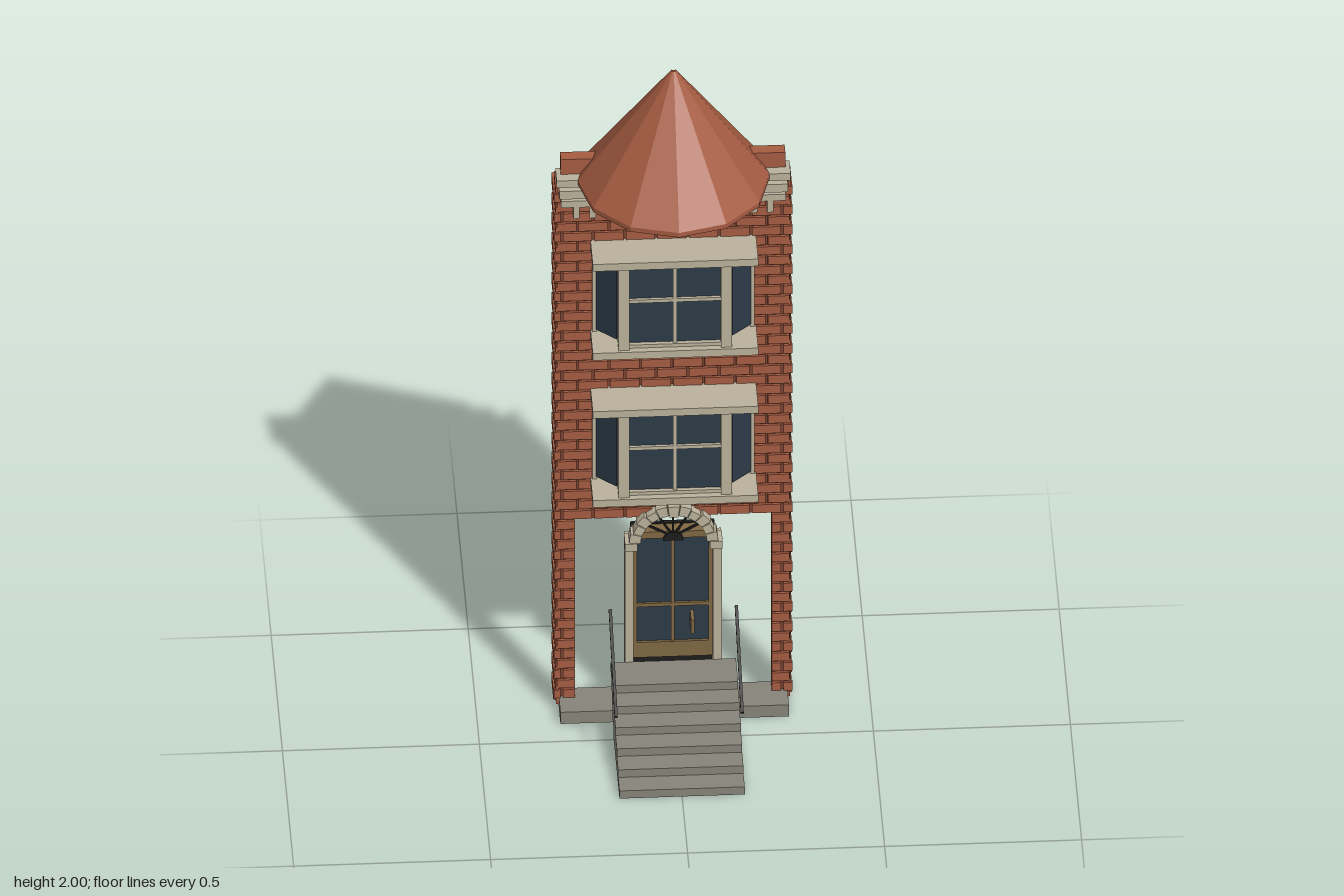
import * as THREE from 'three';
import { mergeGeometries } from 'three/addons/utils/BufferGeometryUtils.js';

const mat = (name, color, side = THREE.FrontSide) => {
  const m = new THREE.MeshStandardMaterial({ color, side });
  m.name = name;
  return m;
};

export function createModel() {
  const root = new THREE.Group();
  root.name = 'townhouseFacade';
  const brick = mat('brick red', 0xa65c42, THREE.DoubleSide);
  const mortar = mat('dark mortar', 0x7a4230);
  const cream = mat('cream stone', 0xbab29c);
  const stone = mat('grey stone', 0x87857a);
  const glass = mat('dark blue glass', 0x2c3a47);
  const black = mat('black', 0x1c1c1c);
  const wood = mat('brown wood', 0x806843);

  const add = (name, geo, material, parent = root) => {
    const m = new THREE.Mesh(geo, material);
    m.name = name;
    parent.add(m);
    return m;
  };
  // Box from its minimum and maximum on each axis
  const boxGeo = (x0, x1, y0, y1, z0, z1) =>
    new THREE.BoxGeometry(x1 - x0, y1 - y0, z1 - z0).translate((x0 + x1) / 2, (y0 + y1) / 2, (z0 + z1) / 2);
  const box = (name, material, b, parent) => add(name, boxGeo(...b), material, parent);
  const rect = (Type, x0, x1, y0, y1) => {
    const s = new Type();
    s.moveTo(x0, y0).lineTo(x1, y0).lineTo(x1, y1).lineTo(x0, y1).closePath();
    return s;
  };
  const extrude = (shape, depth, z) =>
    new THREE.ExtrudeGeometry(shape, { depth, bevelEnabled: false, curveSegments: 12 }).translate(0, 0, z);

  // Wall with two window openings and an open ground floor between piers
  const windows = [0.70, 1.16];
  const wallShape = (w, top) => {
    const s = new THREE.Shape();
    s.moveTo(-w, 0.03).lineTo(-0.25, 0.03).lineTo(-0.25, 0.59).lineTo(0.25, 0.59)
      .lineTo(0.25, 0.03).lineTo(w, 0.03).lineTo(w, top).lineTo(-w, top).closePath();
    for (const y of windows) s.holes.push(rect(THREE.Path, -0.2, 0.2, y + 0.015, y + 0.285));
    return s;
  };
  add('wall', extrude(wallShape(0.285, 1.71), 0.033, -0.183), brick);
  add('mortarFace', extrude(wallShape(0.287, 1.63), 0.004, -0.15), mortar);

  // Running-bond bricks on the front, cut around the openings
  const row = 0.0315, pitch = 0.08, gap = 0.006;
  const bricks = [];
  const layBrick = (a, b, y) => {
    if (b - a > 0.008) bricks.push(boxGeo(a, b, y, y + row - gap, -0.148, -0.139));
  };
  for (let i = 0; i < 51; i++) {
    const y = 0.035 + i * row - 0.0005 * i, mid = y + row / 2;
    const edge = i % 2 ? 0.295 : 0.303;
    let hole = 0;
    if (mid < 0.6) hole = 0.25;
    for (const w of windows) if (mid > w && mid < w + 0.3) hole = 0.203;
    for (let x = -0.36 + (i % 2) * pitch / 2; x < 0.32; x += pitch) {
      const a = Math.max(x, -edge), b = Math.min(x + pitch - gap, edge);
      if (!hole) layBrick(a, b, y);
      else {
        layBrick(a, Math.min(b, -hole), y);
        layBrick(Math.max(a, hole), b, y);
      }
    }
  }
  add('frontBricks', mergeGeometries(bricks), brick);

  // Side returns with toothed rear edges
  for (const s of [-1, 1]) {
    const teeth = [];
    for (let i = 0; i < 52; i++) {
      const y = 0.012 + i * 0.0312;
      const z = i % 2 ? [-0.215, -0.142] : [-0.252, -0.165];
      const x = i % 2 ? 0.299 : 0.303;
      teeth.push(boxGeo(Math.min(s * 0.293, s * x), Math.max(s * 0.293, s * x), y, y + 0.026, ...z));
    }
    add(s > 0 ? 'leftQuoins' : 'rightQuoins', mergeGeometries(teeth), brick);
    box('sideReturn', brick, [s * 0.291 - 0.006, s * 0.291 + 0.006, 0.012, 1.625, -0.215, -0.146]);
  }

  // Cornice, string course and dentils
  box('cornice', cream, [-0.297, 0.297, 1.642, 1.664, -0.178, -0.122]);
  box('stringCourse', cream, [-0.29, 0.29, 1.605, 1.63, -0.15, -0.123]);
  box('lowerCourse', cream, [-0.285, 0.285, 1.575, 1.595, -0.15, -0.128]);
  const dentils = [];
  for (let i = -6; i <= 6; i++) dentils.push(boxGeo(i * 0.041 - 0.008, i * 0.041 + 0.008, 1.54, 1.575, -0.15, -0.128));
  add('dentils', mergeGeometries(dentils), cream);

  // Conical turret roof, open at the back, with a narrow soffit
  const profile = [[0.205, 1.652], [0.243, 1.652], [0.243, 1.666], [0.006, 2.0], [0, 2.0]].map(p => new THREE.Vector2(...p));
  const roof = new THREE.LatheGeometry(profile, 8, -Math.PI * 2 / 3, Math.PI * 4 / 3).toNonIndexed();
  roof.computeVertexNormals();
  add('turretRoof', roof, brick).position.z = -0.12;

  // Projecting bay windows
  for (const y of windows) {
    const bay = new THREE.Group();
    bay.name = 'bayWindow';
    bay.position.y = y;
    root.add(bay);
    box('sill', cream, [-0.21, 0.21, 0, 0.022, -0.184, -0.038], bay);
    box('lintel', cream, [-0.21, 0.21, 0.278, 0.3, -0.184, -0.038], bay);
    box('centreGlass', glass, [-0.118, 0.118, 0.022, 0.278, -0.074, -0.066], bay);
    box('darkBacking', black, [-0.118, 0.118, 0.022, 0.278, -0.082, -0.075], bay);
    box('verticalBar', cream, [-0.005, 0.005, 0.022, 0.278, -0.066, -0.058], bay);
    box('crossBar', cream, [-0.118, 0.118, 0.16, 0.17, -0.066, -0.058], bay);
    box('bottomRail', cream, [-0.118, 0.118, 0.022, 0.032, -0.07, -0.055], bay);
    box('topRail', cream, [-0.118, 0.118, 0.268, 0.278, -0.07, -0.055], bay);
    for (const s of [-1, 1]) {
      box('frontPost', cream, [s * 0.13 - 0.014, s * 0.13 + 0.014, 0.022, 0.278, -0.09, -0.046], bay);
      box('wallPost', cream, [s * 0.2 - 0.006, s * 0.2 + 0.006, 0.022, 0.278, -0.18, -0.132], bay);
      const pane = add('angledGlass', new THREE.BoxGeometry(0.068, 0.24, 0.006), glass, bay);
      pane.position.set(s * 0.17, 0.15, -0.111);
      pane.rotation.y = s * Math.atan2(0.046, 0.05);
    }
  }

  // Door with glazed panels, timber rails and a dark backing
  box('doorBacking', black, [-0.107, 0.107, 0.015, 0.54, -0.195, -0.183]);
  box('doorGlass', glass, [-0.1, 0.1, 0.14, 0.525, -0.183, -0.165]);
  box('doorBottomPanel', wood, [-0.1, 0.1, 0.14, 0.187, -0.17, -0.158]);
  box('doorTransom', wood, [-0.105, 0.105, 0.52, 0.54, -0.18, -0.145]);
  box('doorMiddleRail', wood, [-0.1, 0.1, 0.297, 0.307, -0.166, -0.159]);
  box('doorCentreBar', wood, [-0.004, 0.004, 0.187, 0.52, -0.166, -0.16]);
  box('doorHandle', wood, [0.044, 0.053, 0.238, 0.28, -0.165, -0.118]);
  for (const s of [-1, 1]) {
    box('doorStile', wood, [s * 0.096 - 0.005, s * 0.096 + 0.005, 0.14, 0.52, -0.17, -0.158]);
    box('doorJamb', cream, [s * 0.112 - 0.011, s * 0.112 + 0.011, 0.04, 0.52, -0.182, -0.136]);
    box('impost', cream, [s * 0.108 - 0.016, s * 0.108 + 0.016, 0.505, 0.528, -0.16, -0.112]);
  }

  // Arch of wedge stones with an open fanlight
  const cx = 0.525, stones = 11;
  for (let i = 0; i < stones; i++) {
    const a = Math.PI * i / stones + 0.012, b = Math.PI * (i + 1) / stones - 0.012;
    const outer = i === 5 ? 0.115 : i % 2 ? 0.106 : 0.112;
    const s = new THREE.Shape();
    s.absarc(0, cx, outer + 0.001, a, b, false);
    s.absarc(0, cx, 0.084, b, a, true);
    add('archStone', extrude(s, i === 5 ? 0.042 : 0.036, -0.152), cream);
  }
  for (let i = 1; i < 6; i++) {
    const spoke = add('fanlightSpoke', new THREE.BoxGeometry(0.085, 0.005, 0.006).translate(0.043, 0, 0), black);
    spoke.position.set(0, cx, -0.145);
    spoke.rotation.z = Math.PI * i / 6;
  }
  const hub = new THREE.Shape();
  hub.absarc(0, cx - 0.01, 0.026, 0, Math.PI, false);
  add('fanlightHub', extrude(hub, 0.008, -0.148), black);

  // Plinth and flight of six steps, drawn in side profile
  box('plinth', stone, [-0.29, 0.29, 0, 0.036, -0.18, -0.076]);
  const side = new THREE.Shape();
  side.moveTo(-0.02, 0).lineTo(0.255, 0);
  for (let i = 0; i < 6; i++) {
    const z = 0.255 - i * 0.0584, y = (i + 1) * 0.0237;
    side.lineTo(z, y).lineTo(i < 5 ? z - 0.0584 : -0.138, y);
  }
  side.lineTo(-0.138, 0.115).lineTo(-0.11, 0.115).lineTo(-0.11, 0.088).lineTo(-0.075, 0.088)
    .lineTo(-0.075, 0.06).lineTo(-0.045, 0.06).lineTo(-0.045, 0.03).lineTo(-0.02, 0.03).closePath();
  add('steps', extrude(side, 0.318, -0.159).rotateY(-Math.PI / 2), stone);

  // Sloping handrails
  for (const s of [-1, 1]) {
    const rail = add(s > 0 ? 'leftHandrail' : 'rightHandrail', new THREE.BoxGeometry(0.008, 0.009, 0.3), black);
    rail.position.set(s * 0.16, 0.233, -0.007);
    rail.rotation.x = Math.atan2(0.145, 0.26);
  }
  return root;
}
